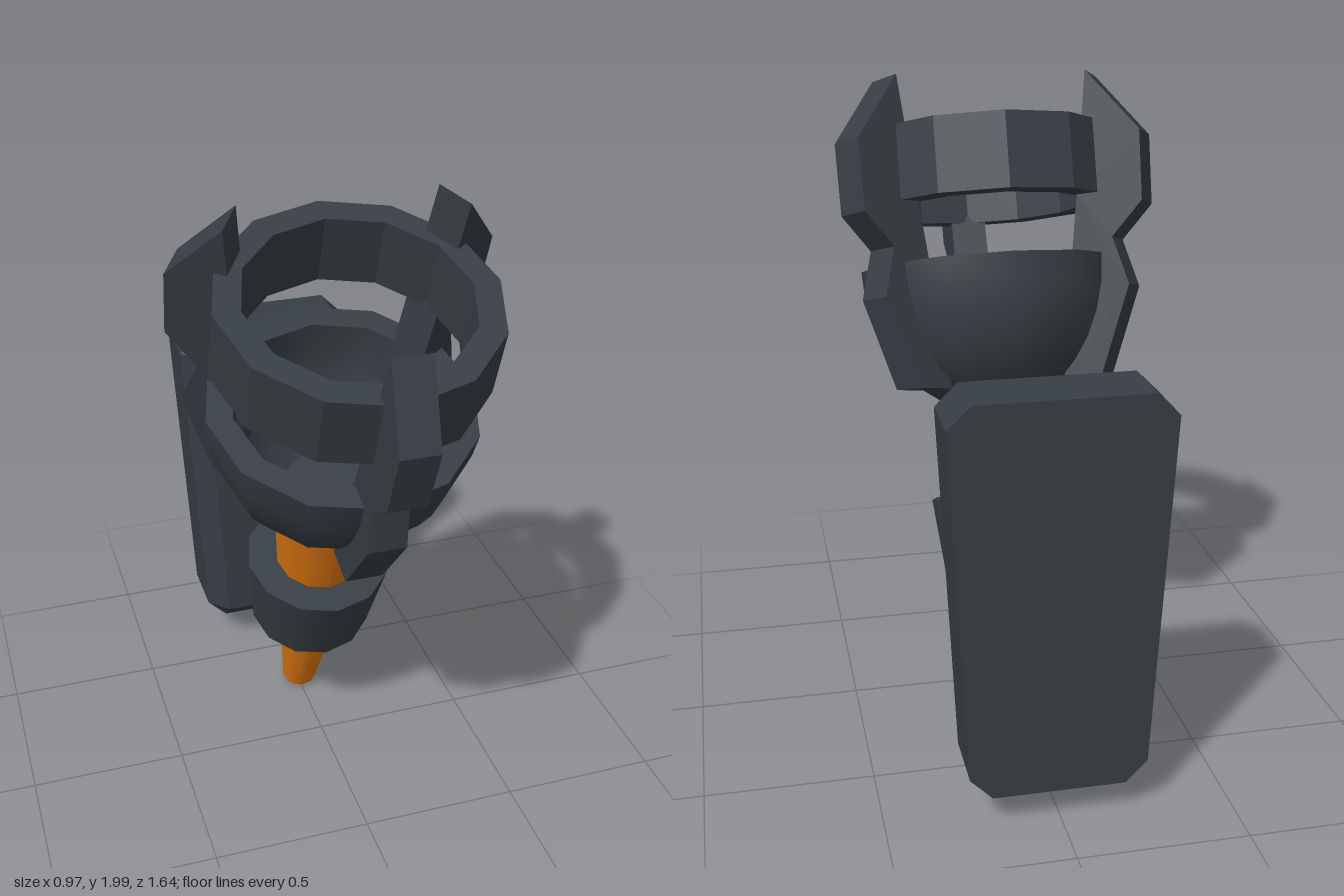
import * as THREE from 'three';
import { toCreasedNormals } from 'three/addons/utils/BufferGeometryUtils.js';
import { ConvexGeometry } from 'three/addons/geometries/ConvexGeometry.js';

const SIDES = 12;

export function createModel() {
  const iron = new THREE.MeshStandardMaterial({ color: 0x373e44 });
  iron.name = 'dark iron';
  const wood = new THREE.MeshStandardMaterial({ color: 0xe07810 });
  wood.name = 'orange wood';

  const model = new THREE.Group();
  model.name = 'wallTorch';
  const torch = new THREE.Group();
  torch.name = 'torch';
  torch.position.set(0.007, 0.025, -0.302);
  torch.rotation.x = THREE.MathUtils.degToRad(20);
  model.add(torch);

  const add = (parent, name, geometry, material) => {
    const mesh = new THREE.Mesh(geometry, material);
    mesh.name = name;
    parent.add(mesh);
    return mesh;
  };
  // Tapered cylinder between two heights on the torch axis
  const cone = (r0, r1, y0, y1) =>
    new THREE.CylinderGeometry(r1, r0, y1 - y0, SIDES).translate(0, (y0 + y1) / 2, 0);
  const lathe = (points, crease) =>
    toCreasedNormals(new THREE.LatheGeometry(points.map(p => new THREE.Vector2(...p)), SIDES), crease);

  // Handle and the collar that grips it
  add(torch, 'handle', cone(0.06, 0.175, 0, 1.03), wood);
  add(torch, 'collar', cone(0.2, 0.235, 0.42, 0.713), iron);

  // Bowl: outer and inner elliptical walls
  const RIM = 1.443;
  const wall = (rimRadius, depth, baseRadius) => {
    const end = Math.acos(baseRadius / rimRadius);
    return Array.from({ length: 7 }, (_, i) => {
      const a = end * (1 - i / 6);
      return [rimRadius * Math.cos(a), RIM - depth * Math.sin(a)];
    });
  };
  const outer = wall(0.41, 0.472, 0.175);
  const inner = wall(0.33, 0.422, 0.147).reverse();
  add(torch, 'bowl', lathe(
    [[0, outer[0][1]], ...outer, ...inner, [0, inner[6][1]]], 0.62), iron);

  // Faceted upper ring
  add(torch, 'upperRing', lathe(
    [[0.41, 1.628], [0.41, 1.856], [0.33, 1.856], [0.33, 1.628], [0.41, 1.628]], 0.2), iron);

  // Three prongs, outline as radius and height
  const outline = [
    [0.245, 1.058], [0.365, 1.064], [0.473, 1.338], [0.43, 1.487], [0.531, 1.588],
    [0.538, 1.803], [0.379, 2.006], [0.326, 1.63], [0.299, 1.45],
  ];
  const prong = new THREE.ExtrudeGeometry(
    new THREE.Shape(outline.map(p => new THREE.Vector2(...p))),
    { depth: 0.115, bevelEnabled: false });
  prong.translate(0, 0, -0.0575).rotateY(-Math.PI / 2);
  [['frontProng', 0], ['leftProng', 122], ['rightProng', -122]].forEach(([name, angle]) => {
    add(torch, name, prong, iron).rotation.y = THREE.MathUtils.degToRad(angle);
  });

  // Arm from collar to wall plate
  add(model, 'arm', new THREE.BoxGeometry(0.16, 0.155, 0.36).translate(0.007, 0.593, -0.4), iron);

  // Tapered wall plate with chamfered front and corners
  const C = 0.065, FRONT = -0.56, BACK = -0.82;
  const corners = [];
  for (const [y, w, up] of [[1.21, 0.3125, 1], [0.167, 0.2575, -1]]) {
    for (const side of [-1, 1]) {
      const put = (x, py, z) => corners.push(new THREE.Vector3(0.007 + side * x, py, z));
      put(w - C, y, FRONT);
      for (const z of [FRONT - C, BACK]) {
        put(w, y, z);
        put(w - C, y + up * C, z);
      }
    }
  }
  add(model, 'wallPlate', new ConvexGeometry(corners), iron);

  return model;
}
